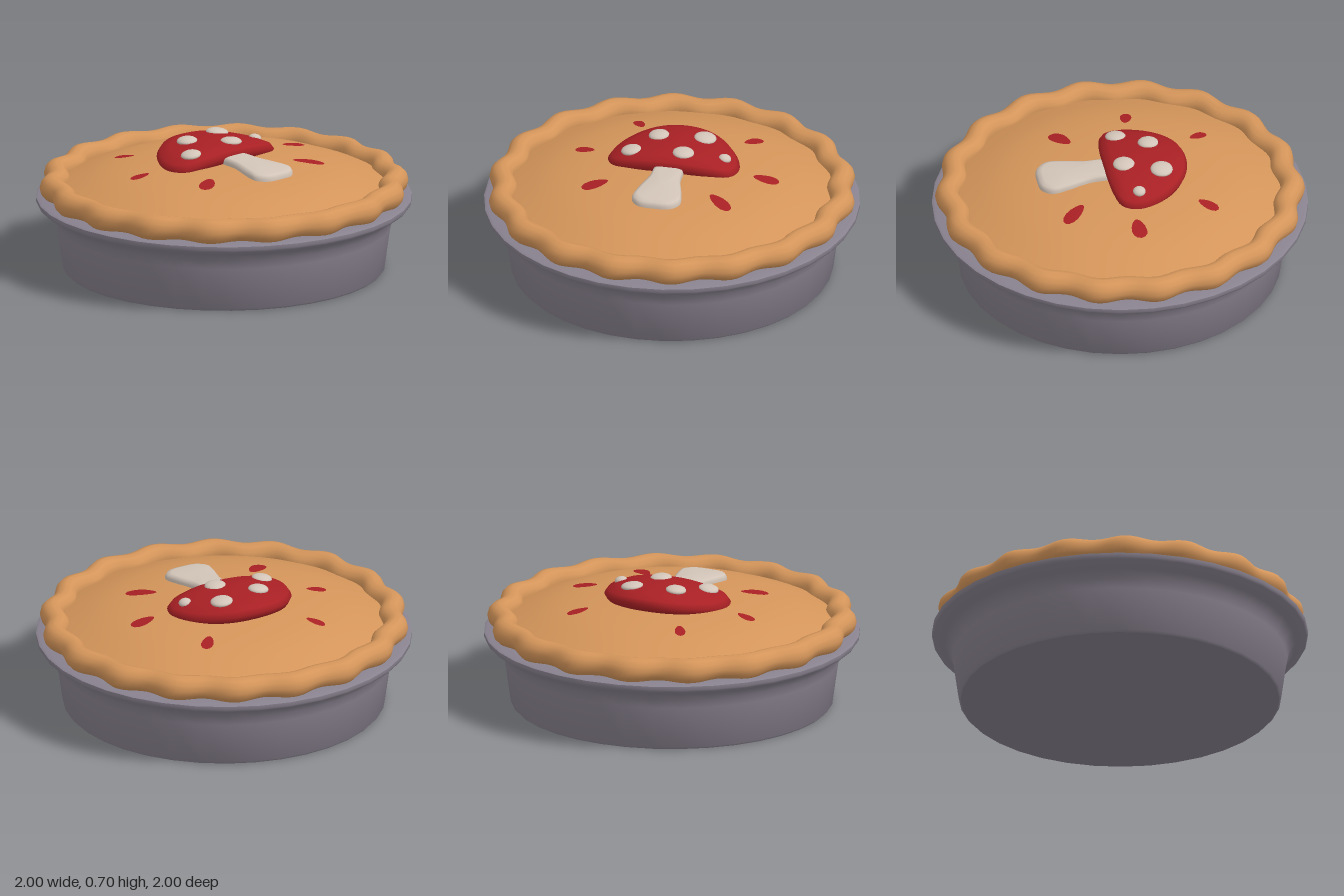
import * as THREE from 'three';
import { mergeVertices, toCreasedNormals } from 'three/addons/utils/BufferGeometryUtils.js';

const material = (name, color) => {
  const m = new THREE.MeshStandardMaterial({ color });
  m.name = name;
  return m;
};
const v2 = (pairs) => pairs.map(([x, y]) => new THREE.Vector2(x, y));

// Pie lid profile, from the rim up to the middle
const LID = [[0.9, 0.44], [0.82, 0.475], [0.75, 0.5], [0.68, 0.528], [0.58, 0.555], [0.45, 0.577], [0.25, 0.594], [0, 0.6]];
function lidHeight(r) {
  for (let i = 1; i < LID.length; i++) {
    const [r0, y0] = LID[i - 1], [r1, y1] = LID[i];
    if (r >= r1) return y0 + (y1 - y0) * (r - r0) / (r1 - r0);
  }
  return 0.6;
}

// Move every vertex by a rule, then rebuild smooth normals without seams
function reshape(geometry, rule) {
  const p = geometry.attributes.position, v = new THREE.Vector3();
  for (let i = 0; i < p.count; i++) {
    rule(v.fromBufferAttribute(p, i), i);
    p.setXYZ(i, v.x, v.y, v.z);
  }
  geometry.deleteAttribute('uv');
  geometry.deleteAttribute('normal');
  const merged = mergeVertices(geometry, 1e-5);
  merged.computeVertexNormals();
  return merged;
}

// Rounded slab: a lathe whose circle is replaced by a mirrored outline (half runs from +z over +x to -z)
function slab(half, centreZ, profile, drop) {
  const mirror = half.slice(1, -1).reverse().map(([x, z]) => [-x, z]);
  const points = [...half, ...mirror].map(([x, z]) => new THREE.Vector3(x, 0, z));
  const outline = new THREE.CatmullRomCurve3(points, true);
  const n = 48, rows = profile.length;
  return reshape(new THREE.LatheGeometry(v2(profile), n), (v, i) => {
    const [s, y] = profile[i % rows];
    const o = outline.getPoint((Math.floor(i / rows) % n) / n);
    v.set(o.x * s, y, centreZ + (o.z - centreZ) * s);
    v.y -= drop(v.x, v.z);
  });
}

export function createModel() {
  const pie = new THREE.Group();
  pie.name = 'pie';
  const pastry = material('pastry', 0xd4955a);
  const metal = material('dish grey', 0x89828f);
  const red = material('mushroom red', 0xa82024);
  const cream = material('cream', 0xd2c4b8);
  const add = (name, geometry, mat, parent = pie) => {
    const mesh = new THREE.Mesh(geometry, mat);
    mesh.name = name;
    parent.add(mesh);
    return mesh;
  };

  // Dish with a flared rim
  const dish = new THREE.LatheGeometry(v2([
    [0, 0], [0.845, 0], [0.856, 0.012], [0.888, 0.24], [0.9, 0.29], [0.93, 0.33],
    [0.99, 0.362], [0.998, 0.375], [0.998, 0.394], [0.985, 0.4], [0.86, 0.395], [0, 0.395],
  ]), 36);
  add('dish', toCreasedNormals(dish, 0.7), metal);

  // Domed lid
  add('lid', new THREE.LatheGeometry(v2(LID), 72), pastry);

  // Crimped crust
  const ring = new THREE.TorusGeometry(0.9, 0.065, 12, 180).rotateX(-Math.PI / 2);
  add('crust', reshape(ring, (v) => {
    const a = Math.atan2(v.z, v.x), r = Math.hypot(v.x, v.z);
    const wave = Math.cos(18 * a + 0.8);
    const k = (r + 0.017 * wave) / r;
    v.set(v.x * k, 0.458 + v.y * (1 + 0.06 * wave), v.z * k);
  }), pastry);

  // Red slits around the mushroom, laid on the lid: x, z, length, width
  const slits = new THREE.Group();
  slits.name = 'slits';
  pie.add(slits);
  for (const [x, z, length, width] of [
    [-0.285, -0.47, 0.11, 0.055], [0.35, -0.415, 0.12, 0.065], [-0.5, -0.118, 0.11, 0.06],
    [0.51, -0.012, 0.14, 0.08], [-0.36, 0.26, 0.15, 0.08], [0.33, 0.305, 0.17, 0.075],
  ]) {
    const d = Math.hypot(x, z), cx = x / d, cz = z / d;
    const patch = new THREE.CircleGeometry(0.5, 14).rotateX(-Math.PI / 2);
    add('slit', reshape(patch, (v) => {
      const along = v.x * length, across = v.z * width * (1 + 0.5 * v.x);
      v.x = x + along * cx - across * cz;
      v.z = z + along * cz + across * cx;
      v.y = lidHeight(Math.hypot(v.x, v.z)) + 0.005;
    }), red, slits);
  }

  // Mushroom lying on the lid
  const mushroom = new THREE.Group();
  mushroom.name = 'mushroom';
  pie.add(mushroom);

  add('stem', slab(
    [[0, 0.447], [0.085, 0.437], [0.13, 0.385], [0.12, 0.3], [0.085, 0.17], [0.07, 0.05], [0, 0.03]], 0.28,
    [[0, 0.56], [0.97, 0.565], [1, 0.58], [1, 0.612], [0.94, 0.628], [0.8, 0.635], [0, 0.64]],
    (x, z) => 0.06 * (z - 0.1),
  ), cream, mushroom);

  const bow = 0.045 / 0.126;
  add('cap', slab(
    [[0, 0.09], [0.2, 0.08], [0.32, 0.045], [0.355, -0.03], [0.335, -0.13], [0.26, -0.245], [0.14, -0.33], [0, -0.355]], -0.1,
    [[0, 0.57], [0.78, 0.575], [0.95, 0.602], [1, 0.635], [0.94, 0.66], [0.75, 0.677], [0.4, 0.685], [0, 0.687]],
    (x) => bow * x * x,
  ), red, mushroom);

  // Cap spots: x, y, z, radius
  for (const [x, y, z, r] of [
    [-0.11, 0.68, -0.17, 0.055], [0.135, 0.675, -0.2, 0.06], [-0.225, 0.658, -0.015, 0.055],
    [0.06, 0.678, -0.01, 0.058], [0.275, 0.645, -0.055, 0.034],
  ]) {
    const spot = add('spot', new THREE.SphereGeometry(1, 20, 12), cream, mushroom);
    spot.scale.set(r, 0.022, r);
    spot.position.set(x, y, z);
    spot.rotation.z = -2 * bow * x;
  }
  return pie;
}
